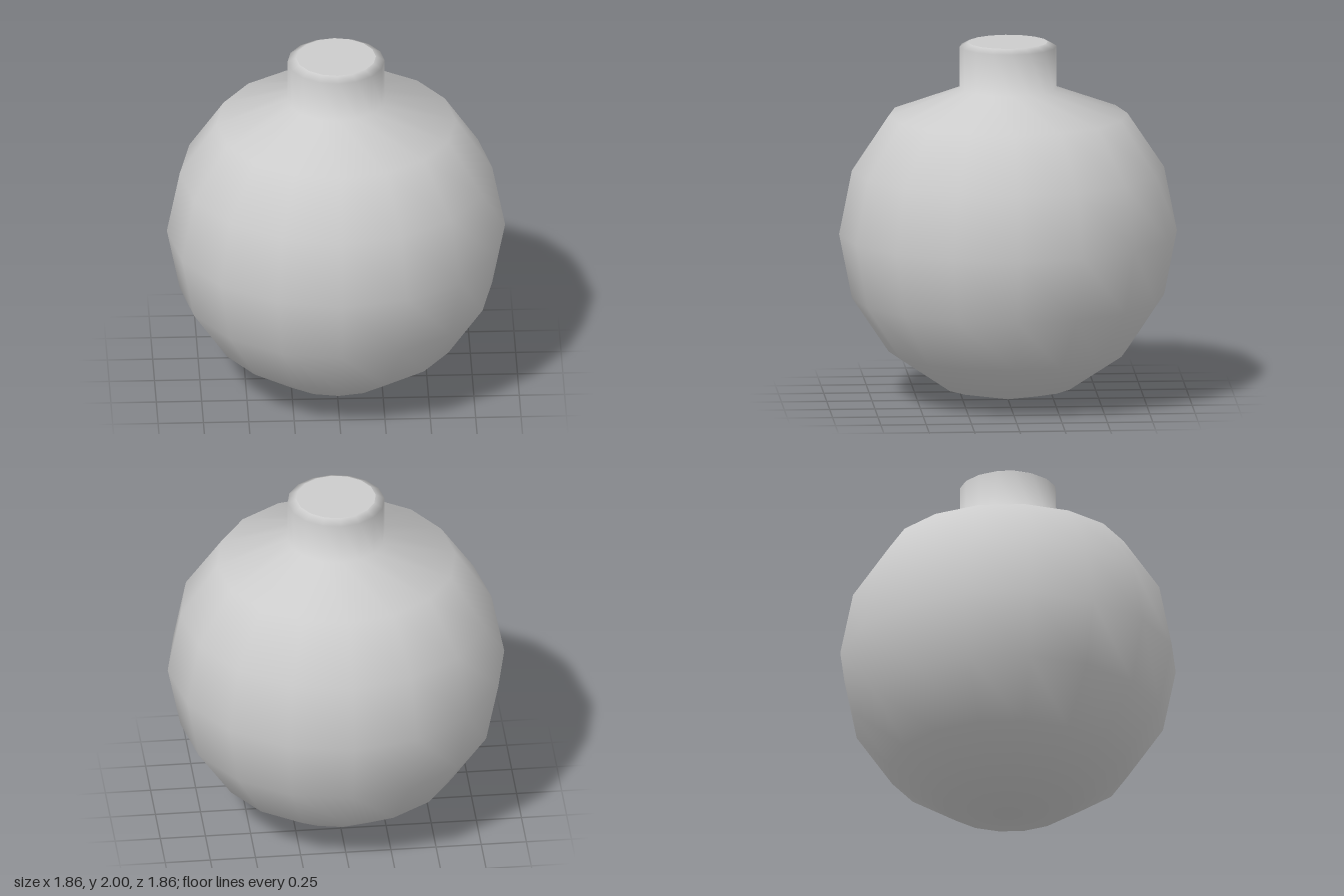
import * as THREE from 'three';
import { mergeVertices } from 'three/addons/utils/BufferGeometryUtils.js';

const SIDES = 16;
const RADIUS = 0.932;
const CENTRE_Y = 0.935;
const CAP_RADIUS = 0.22;

export function createModel() {
  const group = new THREE.Group();
  group.name = 'roundFlask';
  const material = new THREE.MeshStandardMaterial({ color: 0xcccccc });

  // Round bowl: rings every 22.5 degrees from the bottom pole to the shoulder
  const profile = [];
  for (let i = 0; i <= 6; i++) {
    const a = (i * Math.PI) / 8;
    const y = i === 0 ? 0 : CENTRE_Y - RADIUS * Math.cos(a);
    profile.push(new THREE.Vector2(RADIUS * Math.sin(a), y));
  }
  // Sloping shoulder, straight neck and chamfered rim
  profile.push(
    new THREE.Vector2(0.268, 1.74),
    new THREE.Vector2(0.268, 1.975),
    new THREE.Vector2(CAP_RADIUS, 2)
  );

  // Weld the seam and pole so the shading is smooth all around
  let bodyGeometry = new THREE.LatheGeometry(profile, SIDES);
  bodyGeometry.deleteAttribute('normal');
  bodyGeometry.deleteAttribute('uv');
  bodyGeometry = mergeVertices(bodyGeometry, 1e-4);
  bodyGeometry.computeVertexNormals();
  const body = new THREE.Mesh(bodyGeometry, material);
  body.name = 'bodyAndNeck';
  group.add(body);

  // Flat top of the neck
  const capGeometry = new THREE.CircleGeometry(CAP_RADIUS, SIDES);
  capGeometry.rotateX(-Math.PI / 2);
  const cap = new THREE.Mesh(capGeometry, material);
  cap.name = 'neckTop';
  cap.position.y = 2;
  group.add(cap);

  return group;
}
